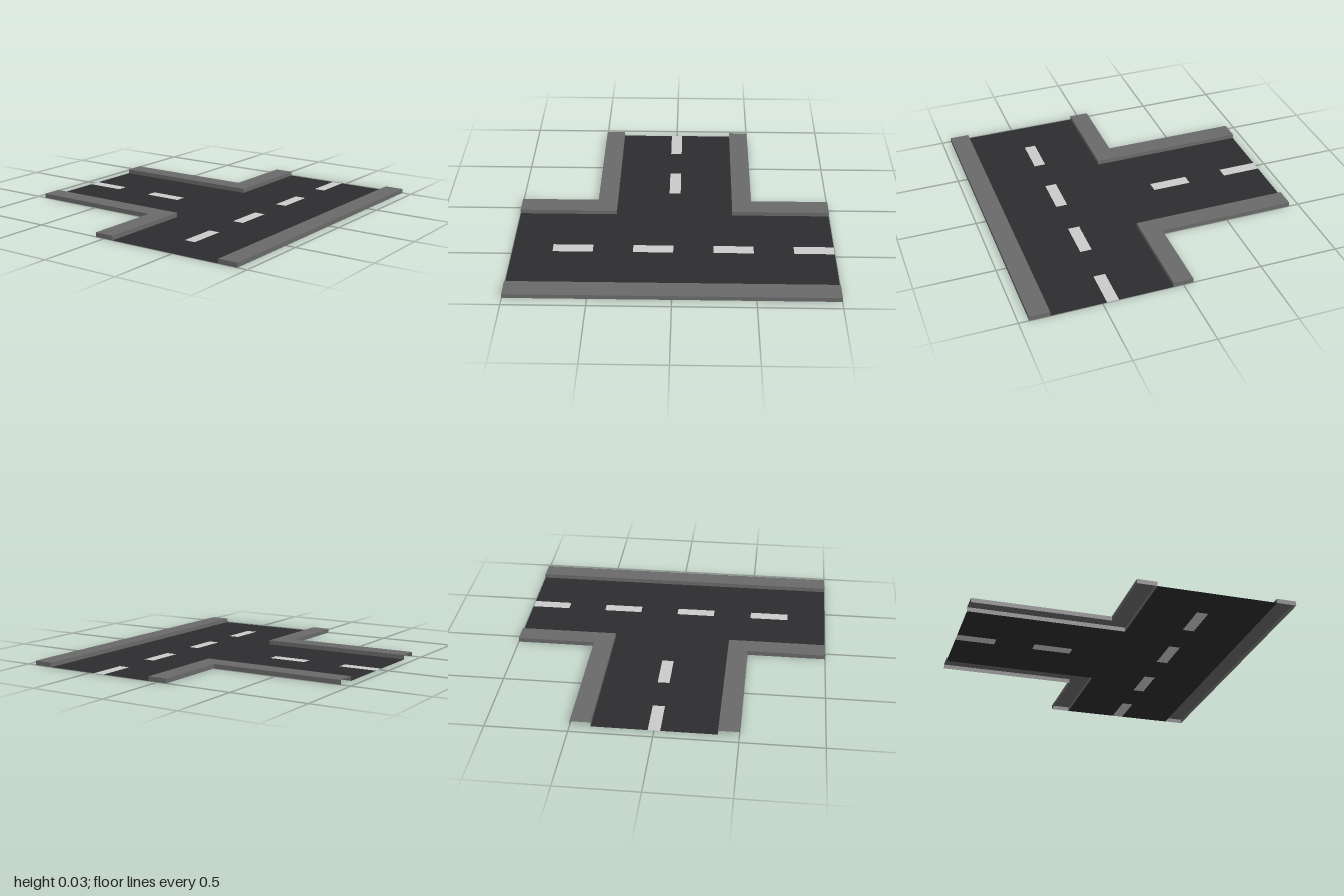
import * as THREE from 'three';
import { mergeGeometries } from 'three/addons/utils/BufferGeometryUtils.js';

const WEST = -0.9375, EAST = 0.9375, KERB_HEIGHT = 0.028;

const material = (color) => new THREE.MeshStandardMaterial({ color, side: THREE.DoubleSide });

// Plan points are [x, z]; shapes use y = -z so they can be laid flat.
const toShape = (points) => points.map(([x, z]) => new THREE.Vector2(x, -z));

function flat(points, holes = []) {
  const shape = new THREE.Shape(toShape(points));
  shape.holes = holes.map((h) => new THREE.Path(toShape(h)));
  return new THREE.ShapeGeometry(shape).rotateX(-Math.PI / 2);
}

const rect = (x0, z0, x1, z1) => [[x0, z0], [x0, z1], [x1, z1], [x1, z0]];

// Hollow kerb: a top and side walls, open below and at the side road's end
function kerb(points) {
  const outline = toShape(points);
  if (THREE.ShapeUtils.isClockWise(outline)) outline.reverse();
  const parts = [flat(points).translate(0, KERB_HEIGHT, 0)];
  outline.forEach((a, i) => {
    const b = outline[(i + 1) % outline.length];
    if (a.x === WEST && b.x === WEST) return;
    parts.push(new THREE.PlaneGeometry(a.distanceTo(b), KERB_HEIGHT)
      .rotateY(Math.atan2(b.y - a.y, b.x - a.x))
      .translate((a.x + b.x) / 2, KERB_HEIGHT / 2, -(a.y + b.y) / 2));
  });
  return mergeGeometries(parts);
}

export function createModel() {
  const model = new THREE.Group();
  const add = (name, geometry, mat) => {
    const mesh = new THREE.Mesh(geometry, mat);
    mesh.name = name;
    model.add(mesh);
  };
  const asphalt = material(0x2d2d2f), concrete = material(0x6a6a6a), paint = material(0xc0c0c0);

  // Lane dashes: four along the main road, two along the side road
  const dashes = [-1, -0.5, 0, 0.5].map((z) => rect(0.4, z, 0.473, z + 0.25));
  for (const x of [WEST, -0.4375]) dashes.push(rect(x, -0.037, x + 0.25, 0.037));
  dashes.forEach((d) => add('laneDash', flat(d), paint));

  // T-shaped road surface; dashes at its ends are notches, the rest are holes
  const road = [
    [0.0625, -1], [0.4, -1], [0.4, -0.75], [0.473, -0.75], [0.473, -1], [0.8125, -1],
    [0.8125, 1], [0.0625, 1], [0.0625, 0.375], [WEST, 0.375],
    [WEST, 0.037], [WEST + 0.25, 0.037], [WEST + 0.25, -0.037], [WEST, -0.037],
    [WEST, -0.375], [0.0625, -0.375],
  ];
  add('roadSurface', flat(road, [1, 2, 3, 5].map((i) => dashes[i])), asphalt);

  // Straight kerb and two mirrored corner kerbs
  add('straightKerb', kerb(rect(0.8125, -1, EAST, 1)), concrete);
  for (const s of [1, -1]) {
    const corner = [[WEST, 0.375], [0.0625, 0.375], [0.0625, 1], [-0.0625, 1], [-0.0625, 0.5], [WEST, 0.5]];
    add(s > 0 ? 'frontCornerKerb' : 'backCornerKerb', kerb(corner.map(([x, z]) => [x, s * z])), concrete);
  }
  return model;
}
